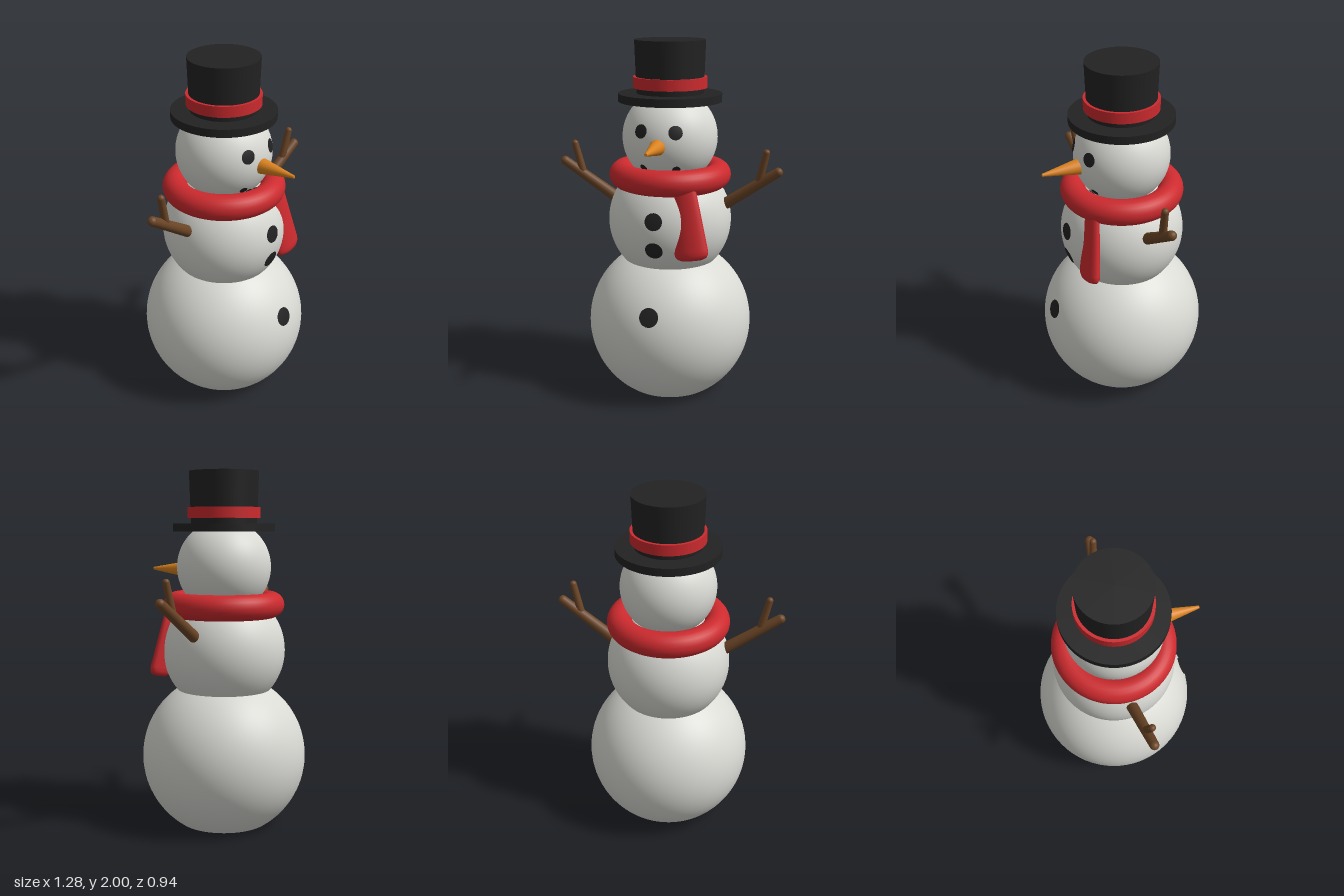
import * as THREE from 'three';

const material = (name, color) => {
  const m = new THREE.MeshStandardMaterial({ color });
  m.name = name;
  return m;
};

export function createModel() {
  const snow = material('snow', 0xdadad5);
  const black = material('black', 0x222222);
  const red = material('red', 0xcc2a2e);
  const wood = material('wood', 0x6b4526);
  const orange = material('orange', 0xd9821f);

  const model = new THREE.Group();
  model.name = 'snowman';

  const add = (name, geometry, mat, x = 0, y = 0, z = 0, parent = model) => {
    const mesh = new THREE.Mesh(geometry, mat);
    mesh.name = name;
    mesh.position.set(x, y, z);
    parent.add(mesh);
    return mesh;
  };

  // Snowballs; the lowest is cut flat where it meets the ground
  const base = { r: 0.468, y: 0.39 };
  const chest = { r: 0.347, y: 1.0 };
  const head = { r: 0.265, y: 1.47 };
  const cut = Math.acos(-base.y / base.r);
  add('lowerBody', new THREE.SphereGeometry(base.r, 64, 40, 0, Math.PI * 2, 0, cut), snow, 0, base.y);
  add('baseDisc', new THREE.CircleGeometry(base.r * Math.sin(cut), 64).rotateX(Math.PI / 2), snow);
  add('chest', new THREE.SphereGeometry(chest.r, 64, 40), snow, 0, chest.y);
  add('head', new THREE.SphereGeometry(head.r, 64, 40), snow, 0, head.y);

  // Coal pieces: thin caps lying on a snowball at front position x, y
  const up = new THREE.Vector3(0, 1, 0);
  const coal = (name, ball, x, y, size) => {
    const dy = y - ball.y;
    const normal = new THREE.Vector3(x, dy, Math.sqrt(ball.r ** 2 - x * x - dy * dy)).normalize();
    const cap = new THREE.SphereGeometry(ball.r + 0.004, 24, 6, 0, Math.PI * 2, 0, size / ball.r);
    add(name, cap, black, 0, ball.y).quaternion.setFromUnitVectors(up, normal);
  };
  coal('leftEye', head, 0.095, 1.532, 0.038);
  coal('rightEye', head, -0.095, 1.532, 0.038);
  [[-0.09, 1.33], [-0.047, 1.305], [0, 1.295], [0.047, 1.305], [0.09, 1.33]].forEach(
    ([x, y]) => coal('mouthCoal', head, x, y, 0.022));
  coal('upperButton', chest, 0, 1.065, 0.048);
  coal('middleButton', chest, 0, 0.902, 0.049);
  coal('lowerButton', base, 0, 0.556, 0.053);

  // Carrot nose
  add('nose', new THREE.CylinderGeometry(0.008, 0.05, 0.248, 32).rotateX(Math.PI / 2), orange, 0, 1.453, 0.344);

  // Top hat
  add('hatBrim', new THREE.CylinderGeometry(0.286, 0.286, 0.044, 64), black, 0, 1.69);
  add('hatCrown', new THREE.CylinderGeometry(0.195, 0.184, 0.31, 64), black, 0, 1.845);
  add('hatBand', new THREE.CylinderGeometry(0.204, 0.204, 0.06, 64), red, 0, 1.772);

  // Scarf ring and flattened hanging tail
  add('scarfRing', new THREE.TorusGeometry(0.271, 0.071, 24, 72).rotateX(Math.PI / 2), red, 0, 1.26);
  const profile = [
    [0, -0.2], [0.055, -0.198], [0.08, -0.188], [0.092, -0.17], [0.093, -0.145],
    [0.077, 0.03], [0.062, 0.19], [0.045, 0.21], [0, 0.215],
  ].map(([x, y]) => new THREE.Vector2(x, y));
  const tail = add('scarfTail', new THREE.LatheGeometry(profile, 40).scale(1, 1, 0.45), red, 0.175, 1.05, 0.277);
  tail.quaternion.setFromUnitVectors(up, new THREE.Vector3(-0.06, 0.38, -0.055).normalize());

  // Tapered stick with a rounded tip
  const stick = (name, from, to, r0, r1, parent) => {
    const a = new THREE.Vector3(...from);
    const b = new THREE.Vector3(...to);
    const dir = b.clone().sub(a);
    const mid = a.clone().add(b).multiplyScalar(0.5);
    add(name, new THREE.CylinderGeometry(r1, r0, dir.length(), 20), wood, ...mid, parent)
      .quaternion.setFromUnitVectors(up, dir.normalize());
    add(name + 'Tip', new THREE.SphereGeometry(r1, 20, 12), wood, ...b, parent);
  };

  // Twig arms, mirrored
  for (const s of [1, -1]) {
    const arm = new THREE.Group();
    arm.name = s > 0 ? 'leftArm' : 'rightArm';
    model.add(arm);
    stick('branch', [s * 0.26, 1.065, 0.003], [s * 0.615, 1.307, 0.038], 0.034, 0.026, arm);
    stick('twig', [s * 0.508, 1.235, 0.028], [s * 0.55, 1.412, 0.042], 0.022, 0.019, arm);
  }

  return model;
}
